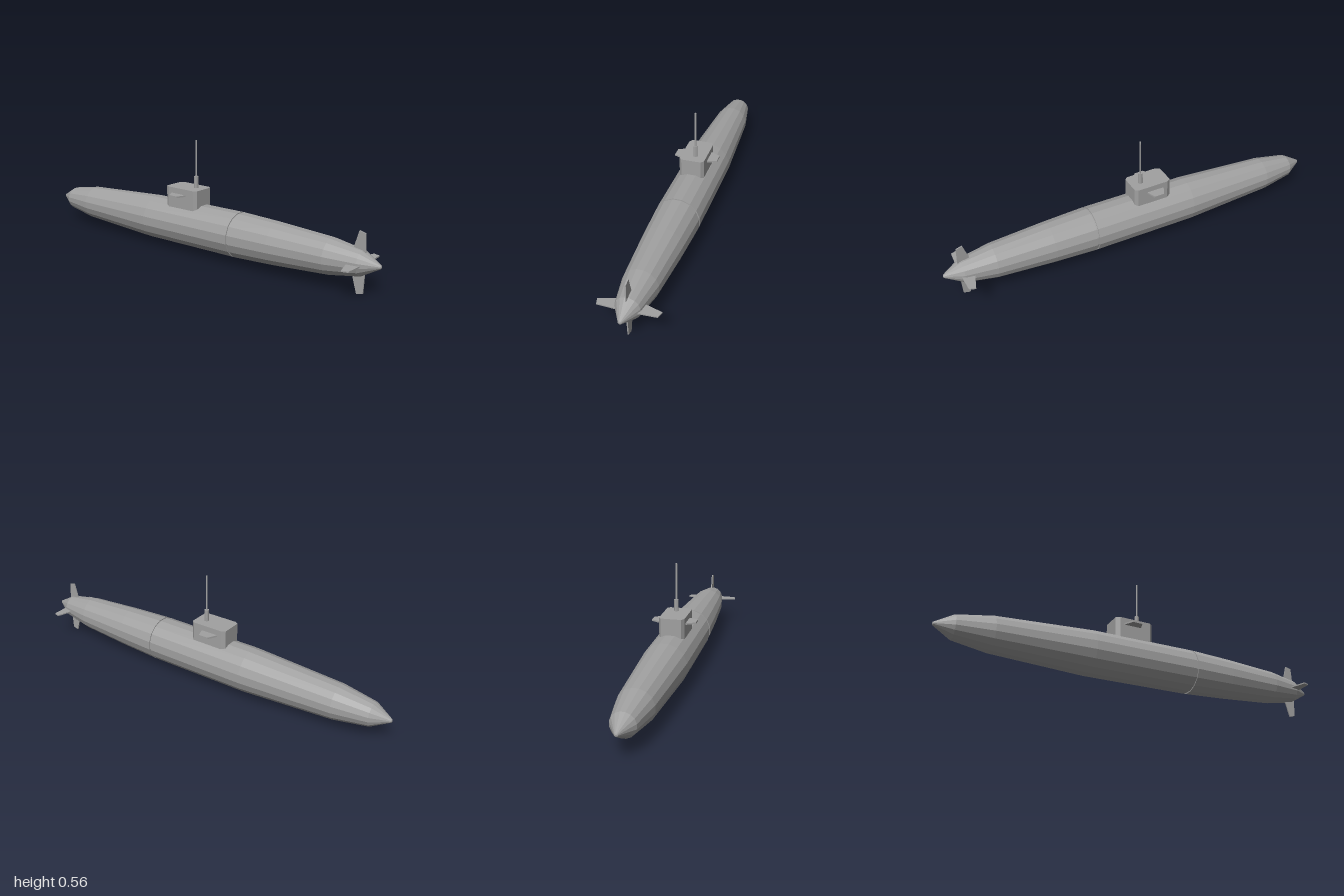
import * as THREE from 'three';

export function createModel() {
  const model = new THREE.Group();
  const grey = new THREE.MeshStandardMaterial({ color: 0xa0a0a0, flatShading: true });
  grey.name = 'hull grey';

  const add = (name, geometry, parent = model) => {
    const mesh = new THREE.Mesh(geometry, grey);
    mesh.name = name;
    parent.add(mesh);
    return mesh;
  };

  // Extruded outline, centred on its thickness
  const plate = (points, thickness) => {
    const shape = new THREE.Shape(points.map(([x, y]) => new THREE.Vector2(x, y)));
    return new THREE.ExtrudeGeometry(shape, { depth: thickness, bevelEnabled: false })
      .translate(0, 0, -thickness / 2);
  };

  // Hull: 16-sided turned body with a seam groove, bow slightly lower than stern
  const profile = [
    [0, -1], [0.008, -0.997], [0.058, -0.91], [0.086, -0.74], [0.111, -0.27],
    [0.111, 0.262], [0.106, 0.262], [0.106, 0.27], [0.111, 0.27],
    [0.102, 0.48], [0.084, 0.76], [0.058, 0.91], [0.008, 0.997], [0, 1],
  ].map(([r, x]) => new THREE.Vector2(r, x));
  const hull = add('hull', new THREE.LatheGeometry(profile, 16, Math.PI / 16));
  hull.rotation.z = -Math.PI / 2 + 0.0105;
  hull.position.y = 0.135;

  // Conning tower with cut corners
  const half = [[-0.155, 0.05], [-0.135, 0.062], [0.025, 0.062], [0.04, 0.049]];
  const outline = [...half, ...half.map(([x, z]) => [x, -z]).reverse()].reverse();
  const tower = add('tower', plate(outline, 0.13));
  tower.rotation.x = -Math.PI / 2;
  tower.position.set(0, 0.259, 0.003);

  // Tower diving planes
  for (const side of [1, -1]) {
    const plane = add('divingPlane', plate(
      [[-0.12, 0.05], [-0.02, 0.05], [-0.04, 0.108], [-0.09, 0.108]].reverse(), 0.008));
    plane.rotation.x = side * Math.PI / 2;
    plane.position.set(0, 0.292, 0.002);
  }

  // Mast and its socket
  add('mastSocket', new THREE.CylinderGeometry(0.011, 0.011, 0.062, 10))
    .position.set(-0.013, 0.351, -0.004);
  add('mast', new THREE.CylinderGeometry(0.0045, 0.0045, 0.19, 8))
    .position.set(-0.013, 0.466, -0.004);

  // Cross of four tail fins
  const tail = new THREE.Group();
  tail.name = 'tailFins';
  tail.position.y = 0.143;
  model.add(tail);
  const fin = plate([[0.862, 0.045], [0.925, 0.04], [0.921, 0.133], [0.89, 0.142]], 0.006);
  for (let i = 0; i < 4; i++) {
    add('tailFin', fin, tail).rotation.x = i * Math.PI / 2;
  }

  return model;
}
